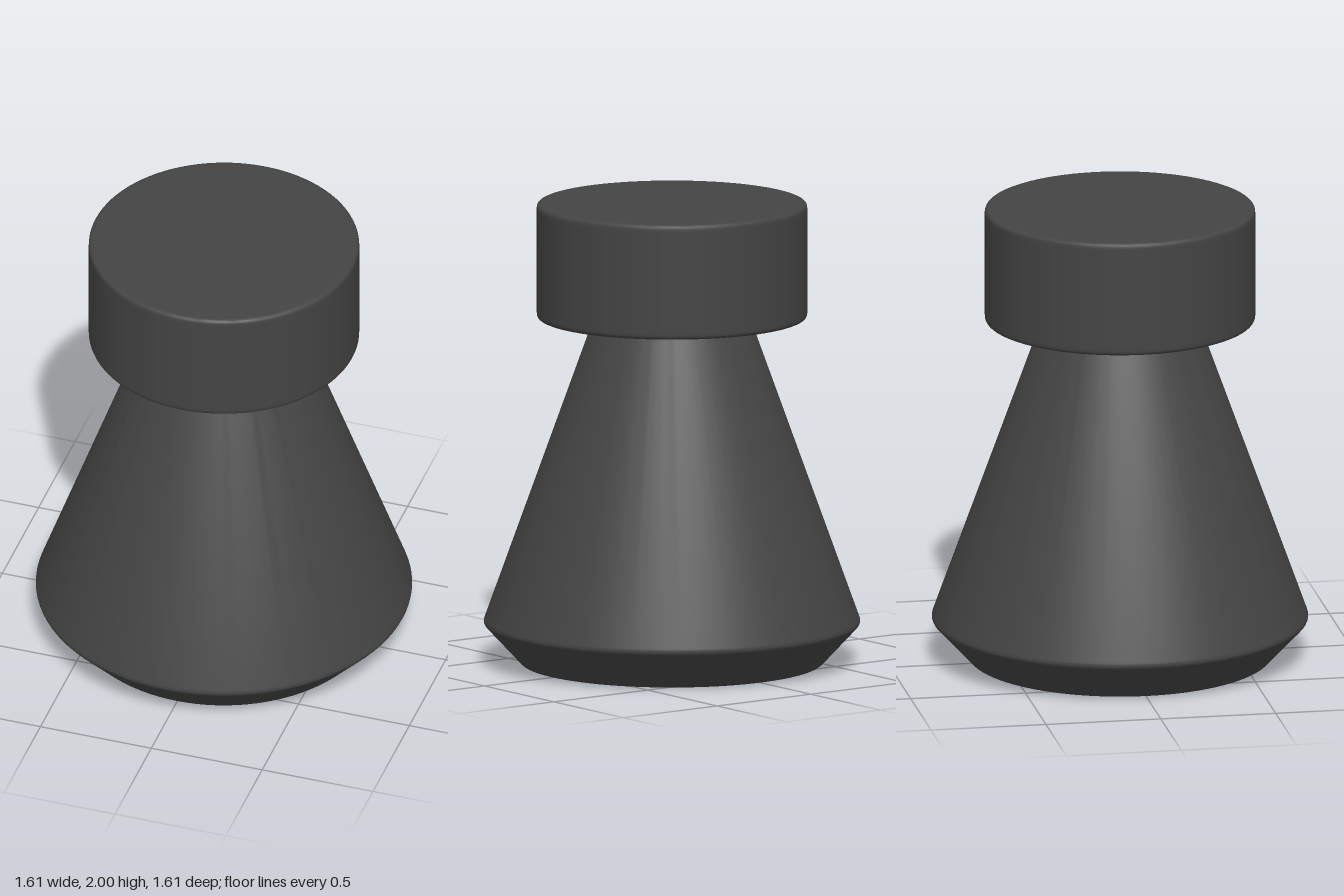
import * as THREE from 'three';
import { toCreasedNormals } from 'three/addons/utils/BufferGeometryUtils.js';

const SIDES = 96;

// Revolve a profile (bottom to top), softening each inner corner by its third value
function roundedLathe(corners) {
  const points = corners.map(([x, y]) => new THREE.Vector2(x, y));
  const profile = [points[0]];
  for (let i = 1; i < points.length - 1; i++) {
    const p = points[i], r = corners[i][2];
    const toPrev = points[i - 1].clone().sub(p).normalize();
    const toNext = points[i + 1].clone().sub(p).normalize();
    const along = (dir, d) => p.clone().addScaledVector(dir, d);
    // Extra rings beside the rounding keep the long faces flat
    const curve = new THREE.QuadraticBezierCurve(along(toPrev, r), p, along(toNext, r));
    profile.push(along(toPrev, r * 1.6), ...curve.getPoints(5), along(toNext, r * 1.6));
  }
  profile.push(points[points.length - 1]);
  return toCreasedNormals(new THREE.LatheGeometry(profile, SIDES), 0.6);
}

export function createModel() {
  const model = new THREE.Group();
  const charcoal = new THREE.MeshStandardMaterial({ color: 0x444444 });
  charcoal.name = 'charcoal';

  const add = (name, corners) => {
    const mesh = new THREE.Mesh(roundedLathe(corners), charcoal);
    mesh.name = name;
    model.add(mesh);
  };

  // Tapered body with a chamfered foot, its neck tucked just inside the cap
  add('body', [
    [0, 0],
    [0.644, 0, 0.012],
    [0.81, 0.178, 0.015],
    [0.327, 1.52, 0.005],
    [0, 1.52],
  ]);

  // Wide cylindrical cap
  add('cap', [
    [0, 1.5],
    [0.58, 1.5, 0.022],
    [0.58, 2, 0.022],
    [0, 2],
  ]);

  return model;
}
